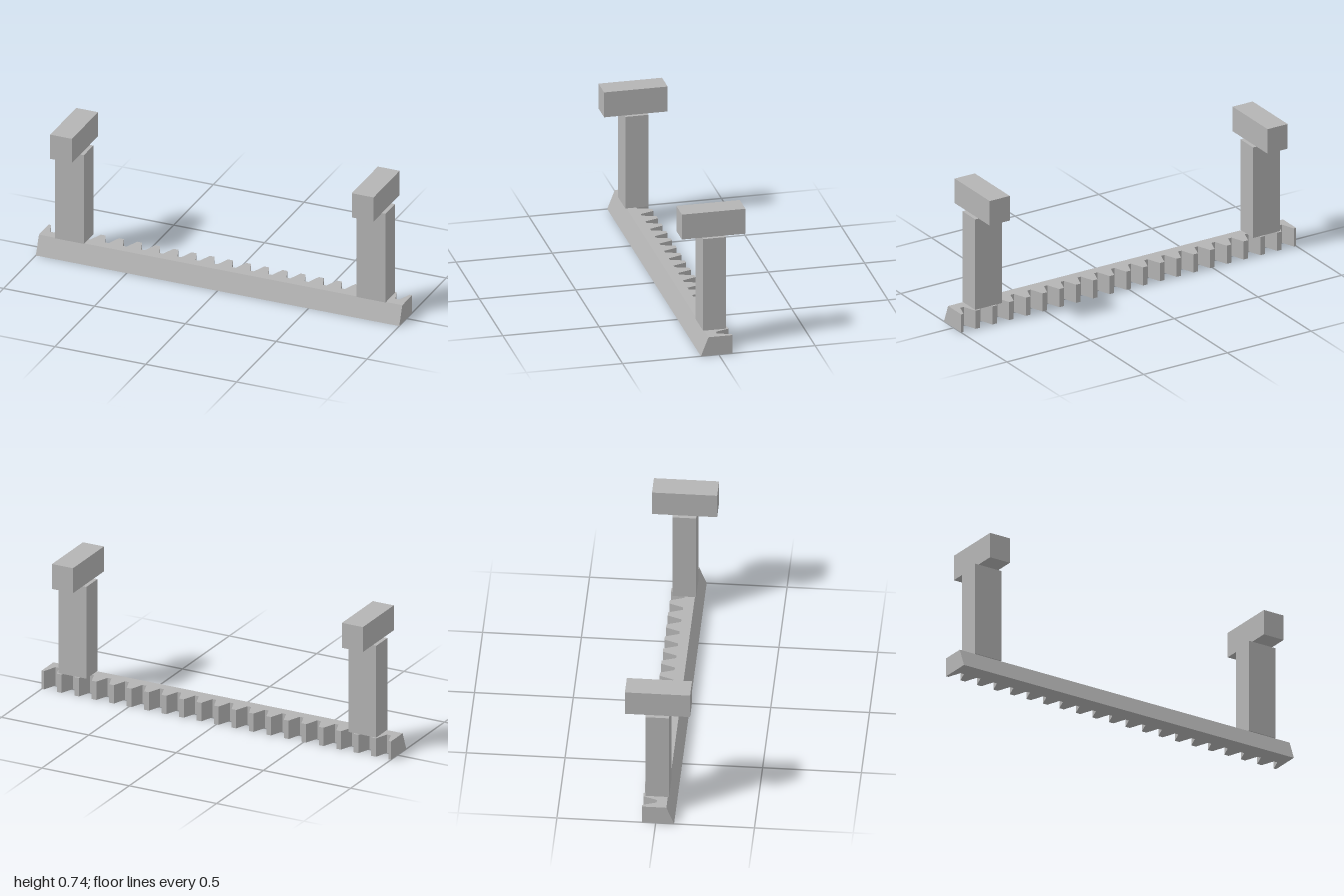
import * as THREE from 'three';

const HEIGHT = 0.1, PITCH = 0.1;
const TIP_Z = -0.07, ROOT_Z = 0.0015, TIP_HALF = 0.0135, ROOT_HALF = 0.0395;

// Toothed bar: plan outline extruded upward, with its front face leaning back
function rackGeometry() {
  const shape = new THREE.Shape();
  const back = [[1, TIP_Z]];
  for (let k = 10; k >= -10; k--) {
    const x = k * PITCH;
    if (k < 10) back.push([x + ROOT_HALF, ROOT_Z], [x + TIP_HALF, TIP_Z]);
    if (k > -10) back.push([x - TIP_HALF, TIP_Z], [x - ROOT_HALF, ROOT_Z]);
  }
  back.push([-1, TIP_Z]);
  shape.moveTo(-1, -0.093);
  shape.lineTo(1, -0.093);
  back.forEach(([x, z]) => shape.lineTo(x, -z));
  shape.closePath();

  const geometry = new THREE.ExtrudeGeometry(shape, { depth: HEIGHT, bevelEnabled: false });
  geometry.rotateX(-Math.PI / 2);
  const p = geometry.attributes.position;
  for (let i = 0; i < p.count; i++) {
    if (p.getZ(i) > 0.05 && p.getY(i) > HEIGHT / 2) p.setZ(i, 0.054);
  }
  geometry.computeVertexNormals();
  return geometry;
}

export function createModel() {
  const model = new THREE.Group();
  model.name = 'toothedRackWithPosts';
  const grey = new THREE.MeshStandardMaterial({ color: 0xb4b4b4 });
  grey.name = 'grey';

  const add = (name, geometry, x = 0, y = 0) => {
    const mesh = new THREE.Mesh(geometry, grey);
    mesh.name = name;
    mesh.position.set(x, y, 0);
    model.add(mesh);
  };

  add('toothedRack', rackGeometry());

  // Upright posts with crosswise heads
  for (const [side, s] of [['left', 1], ['right', -1]]) {
    add(side + 'Post', new THREE.BoxGeometry(0.16, 0.5, 0.12), s * 0.83, 0.35);
    add(side + 'Head', new THREE.BoxGeometry(0.12, 0.136, 0.33), s * 0.83, 0.668);
  }
  return model;
}
